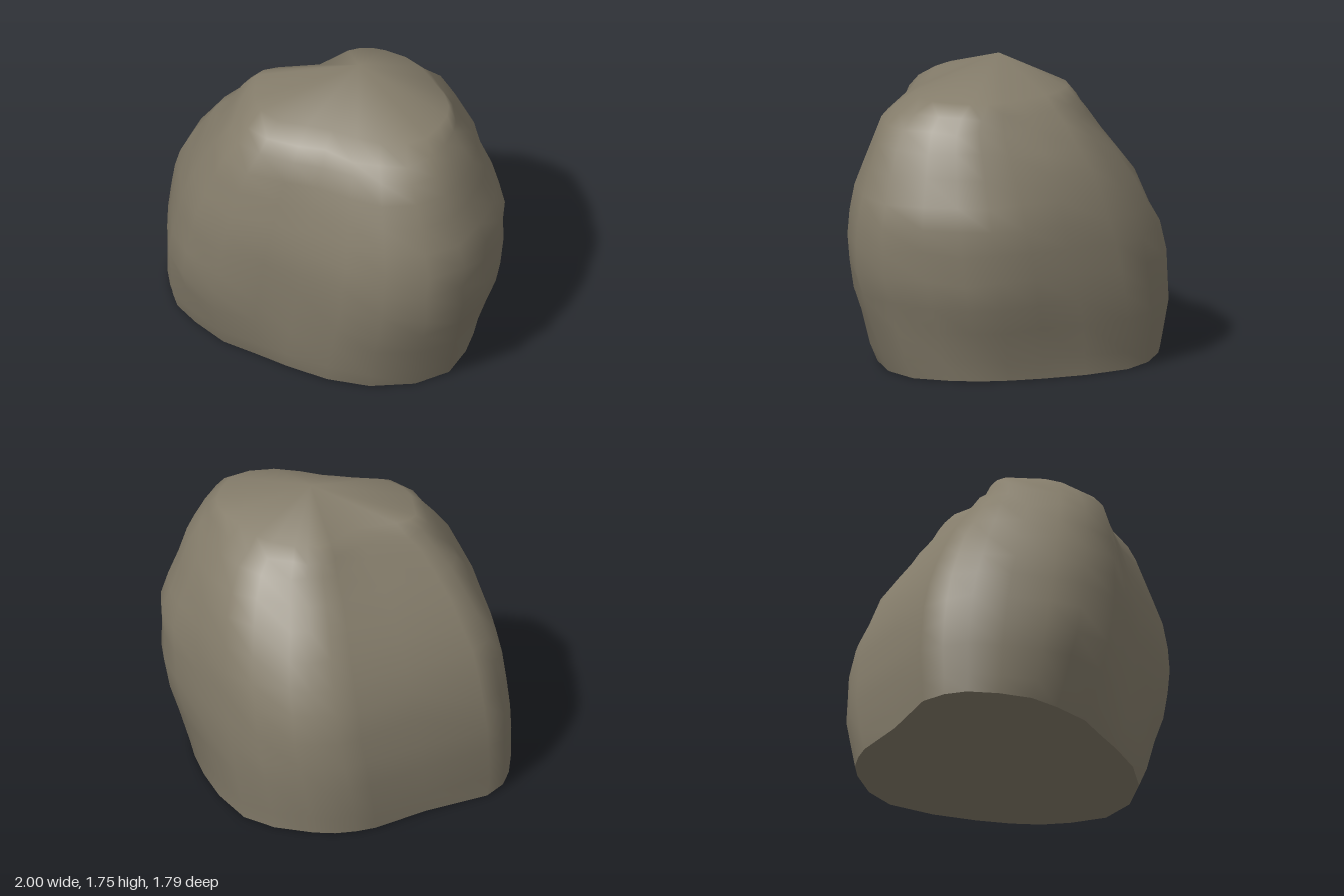
import * as THREE from 'three';

// Plan outline of the boulder (x, z), clockwise seen from above
const outline = [
  [0.05, -0.9], [0.18, -0.89], [0.4, -0.81], [0.57, -0.67], [0.75, -0.42], [0.9, -0.2],
  [0.98, 0], [1, 0.2], [0.96, 0.42], [0.88, 0.67], [0.7, 0.83], [0.45, 0.89], [0.2, 0.85],
  [-0.07, 0.76], [-0.3, 0.71], [-0.57, 0.66], [-0.78, 0.5], [-0.9, 0.33], [-0.96, 0.1],
  [-1, -0.1], [-0.97, -0.25], [-0.88, -0.39], [-0.5, -0.6], [-0.2, -0.82], [-0.08, -0.87],
];

// Each level: y, min x, max x, min z, max z, then how far its corners swell:
// front (-x +z), back (+x -z), back (-x -z), and the sideways slip of front (+x +z)
const levels = [
  [0, -0.99, 0.81, -0.84, 0.77, -0.06, 0.06, 0, 0.06],
  [0.11, -1, 0.84, -0.86, 0.81, -0.045, 0.05, 0, 0.05],
  [0.3, -1, 0.9, -0.89, 0.845, -0.02, 0.03, 0, 0.03],
  [0.45, -1, 0.955, -0.89, 0.87, 0, 0.01, 0, 0.01],
  [0.6, -0.975, 0.99, -0.885, 0.89, 0, 0, 0, 0],
  [0.76, -0.945, 0.99, -0.85, 0.9, 0, 0, 0, 0],
  [0.9, -0.91, 1, -0.79, 0.89, 0, 0.01, 0, 0],
  [1.04, -0.84, 0.955, -0.72, 0.86, 0.01, 0.03, 0, 0],
  [1.18, -0.765, 0.9, -0.62, 0.81, 0.02, 0.05, 0, 0],
  [1.31, -0.685, 0.85, -0.53, 0.765, 0.03, 0.05, -0.01, 0],
  [1.43, -0.585, 0.785, -0.44, 0.71, 0.03, 0.04, -0.03, 0],
  [1.5, -0.53, 0.73, -0.39, 0.64, 0.03, 0.02, -0.05, 0],
  [1.575, -0.46, 0.68, -0.33, 0.52, 0.03, 0, -0.07, 0],
];
const peak = [0.14, 1.75, 0.06];

// Small repeatable unevenness for the chipped surface
function chip(i, j) {
  const s = Math.sin(i * 12.99 + j * 78.23) * 43758.5;
  return s - Math.floor(s) - 0.5;
}

function ringPoint(level, i) {
  const [y, x0, x1, z0, z1, front, backA, backB, slip] = levels[level];
  const inner = level > 0 && level < levels.length - 1;
  const nx = outline[i][0], nz = (outline[i][1] + 0.005) / 0.895;
  const rough = inner ? 1 + 0.01 * chip(i, level) : 1;
  // Corner offset, fading to nothing along the axes
  const weight = ((2 * nx * nz) / (nx * nx + nz * nz)) ** 2;
  let dx, dz;
  if (nx > 0 && nz > 0) [dx, dz] = [slip, -slip];
  else if (nx > 0) [dx, dz] = [backA, -backA];
  else if (nz > 0) [dx, dz] = [-front, front];
  else [dx, dz] = [-backB, -backB];
  return [
    (x0 + x1) / 2 + (nx * rough * (x1 - x0)) / 2 + dx * weight,
    y + (inner ? 0.03 * chip(i + 31, level) : 0),
    (z0 + z1) / 2 + (nz * rough * (z1 - z0)) / 2 + dz * weight,
  ];
}

function makeMesh(name, positions, index, material) {
  const geometry = new THREE.BufferGeometry();
  geometry.setAttribute('position', new THREE.Float32BufferAttribute(positions, 3));
  geometry.setIndex(index);
  geometry.computeVertexNormals();
  const mesh = new THREE.Mesh(geometry, material);
  mesh.name = name;
  return mesh;
}

export function createModel() {
  const group = new THREE.Group();
  group.name = 'boulder';
  const stone = new THREE.MeshStandardMaterial({ color: 0x857d6b });
  const n = outline.length;

  // Body: stacked rings closed by a low peak
  const positions = [], index = [];
  for (let l = 0; l < levels.length; l++) {
    for (let i = 0; i < n; i++) positions.push(...ringPoint(l, i));
  }
  positions.push(...peak);
  const apex = levels.length * n;
  for (let l = 0; l < levels.length; l++) {
    for (let i = 0; i < n; i++) {
      const a = l * n + i, b = l * n + (i + 1) % n;
      if (l === levels.length - 1) index.push(a, apex, b);
      else index.push(a, a + n, b + n, a, b + n, b);
    }
  }
  group.add(makeMesh('rockBody', positions, index, stone));

  // Flat underside with its own normals for a crisp edge
  const basePositions = [-0.09, 0, -0.045], baseIndex = [];
  for (let i = 0; i < n; i++) {
    basePositions.push(...ringPoint(0, i));
    baseIndex.push(0, 1 + i, 1 + (i + 1) % n);
  }
  group.add(makeMesh('rockBase', basePositions, baseIndex, stone));

  return group;
}
